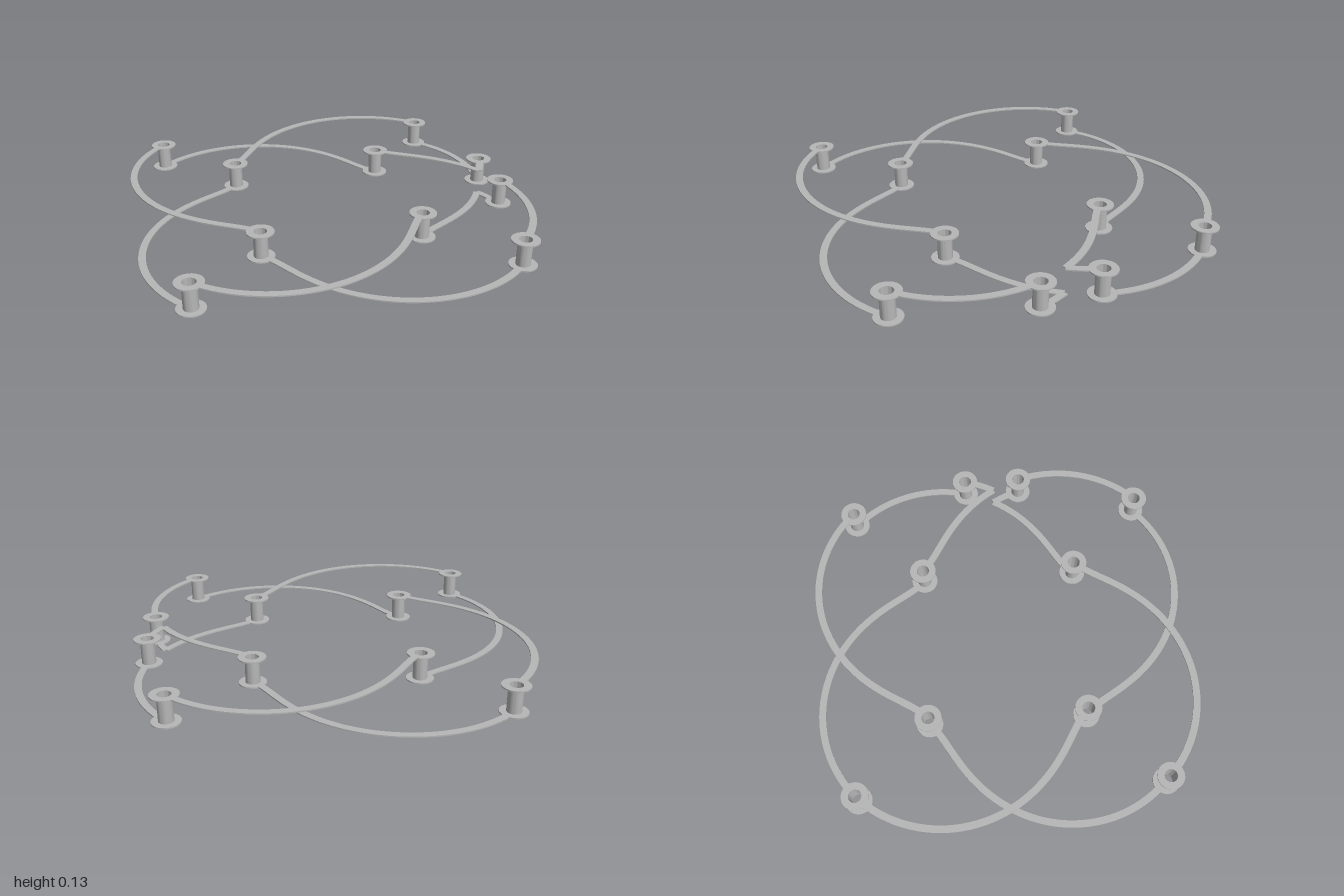
import * as THREE from 'three';
import { toCreasedNormals } from 'three/addons/utils/BufferGeometryUtils.js';

const HEIGHT = 0.127, THICK = 0.006;   // full height, copper thickness
const HALF_WIDTH = 0.0165;             // half the trace width
const HOLE = 0.03, BARREL = 0.033, PAD = 0.063;
const TRIM = 0.046;                    // trace ends stop under the pad, clear of the hole

// Two-lobed loop; peak is the angle (degrees) of its widest point
function loopPoint(deg, peak) {
  const a = THREE.MathUtils.degToRad(deg);
  const d = THREE.MathUtils.degToRad(deg - peak);
  const r = Math.sqrt(0.65 + 0.37 * Math.cos(2 * d));
  return new THREE.Vector2(r * Math.cos(a), r * Math.sin(a));
}

// Flat strip along the loop between two angles
function traceGeometry(peak, from, to, trimFrom, trimTo) {
  const start = from + (trimFrom ? THREE.MathUtils.radToDeg(TRIM / loopPoint(from, peak).length()) : 0);
  const end = to - (trimTo ? THREE.MathUtils.radToDeg(TRIM / loopPoint(to, peak).length()) : 0);
  const steps = Math.max(4, Math.ceil((end - start) / 2));
  const outer = [], inner = [];
  for (let i = 0; i <= steps; i++) {
    const deg = start + (end - start) * i / steps;
    const p = loopPoint(deg, peak);
    const t = loopPoint(deg + 0.1, peak).sub(loopPoint(deg - 0.1, peak)).normalize();
    const n = new THREE.Vector2(t.y, -t.x).multiplyScalar(HALF_WIDTH);
    outer.push(p.clone().add(n));
    inner.unshift(p.clone().sub(n));
  }
  const geo = new THREE.ExtrudeGeometry(new THREE.Shape([...outer, ...inner]),
    { depth: THICK, bevelEnabled: false });
  return toCreasedNormals(geo.rotateX(-Math.PI / 2), 0.6);
}

// Hollow barrel with a ring pad at each end, as one closed profile
function viaGeometry() {
  const profile = [
    [HOLE, 0], [PAD, 0], [PAD, THICK], [BARREL, THICK],
    [BARREL, HEIGHT - THICK], [PAD, HEIGHT - THICK], [PAD, HEIGHT], [HOLE, HEIGHT], [HOLE, 0],
  ].map(([x, y]) => new THREE.Vector2(x, y));
  return toCreasedNormals(new THREE.LatheGeometry(profile, 36), 0.6);
}

export function createModel() {
  const model = new THREE.Group();
  model.name = 'wovenTraceRing';
  const metal = new THREE.MeshStandardMaterial({ color: 0xb6b6b6 });
  metal.name = 'metalGrey';
  metal.side = THREE.DoubleSide;

  const CROSS = 67.5; // angle at which the two loops swap over
  // [loop peak, from, to, on top layer]
  const traces = [
    [112.5, 22.5, CROSS, false],
    [112.5, CROSS, 76.8, true],
    [112.5, 76.8, 112.5, false],
    [112.5, 112.5, 202.5, true],
    [112.5, 202.5, 292.5, false],
    [112.5, 292.5, 382.5, true],
    [22.5, 22.5, 58.8, true],
    [22.5, 58.8, CROSS, false],
    [22.5, CROSS, 112.5, true],
    [22.5, 112.5, 202.5, false],
    [22.5, 202.5, 292.5, true],
    [22.5, 292.5, 382.5, false],
  ];
  const via = viaGeometry();
  for (const [peak, from, to, top] of traces) {
    const trace = new THREE.Mesh(
      traceGeometry(peak, from, to, from !== CROSS, to !== CROSS), metal);
    trace.name = top ? 'topTrace' : 'bottomTrace';
    trace.position.y = top ? HEIGHT - THICK : 0;
    model.add(trace);

    // A via stands at the start of every trace except at the swap-over
    if (from !== CROSS) {
      const p = loopPoint(from, peak);
      const post = new THREE.Mesh(via, metal);
      post.name = 'via';
      post.position.set(p.x, 0, -p.y);
      model.add(post);
    }
  }
  return model;
}
